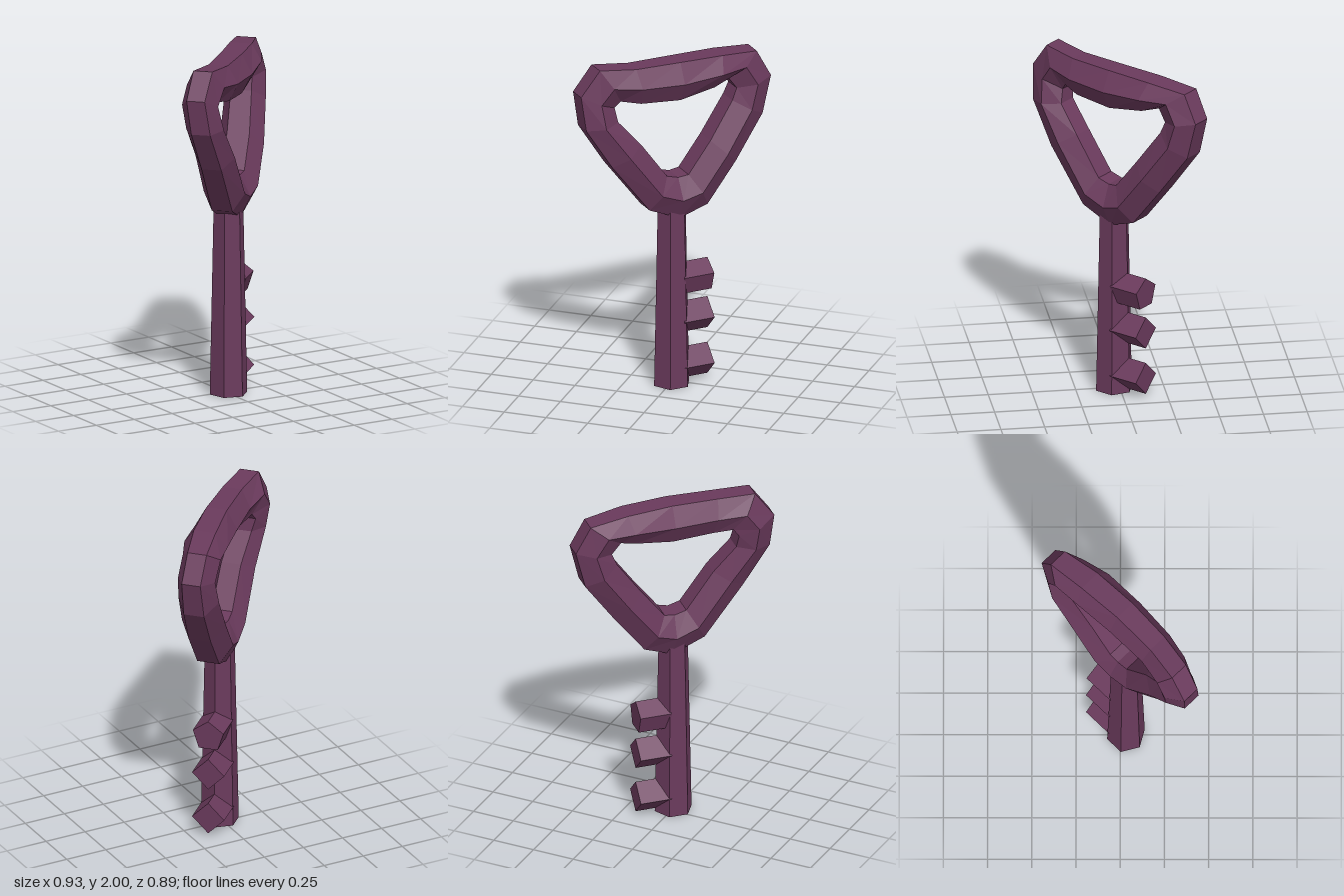
import * as THREE from 'three';

// Bow cross-sections: [outer u, outer y, inner u, inner y, depth centre, depth radius]
const BOW = [
  [0, 1.03, -0.01, 1.28, 0.03, 0.12],
  [0.17, 1.09, 0.05, 1.29, 0.035, 0.13],
  [0.35, 1.32, 0.19, 1.47, 0.03, 0.13],
  [0.53, 1.57, 0.34, 1.68, 0.01, 0.12],
  [0.585, 1.79, 0.37, 1.75, 0.01, 0.11],
  [0.5, 1.95, 0.32, 1.82, 0, 0.112],
  [0.27, 1.975, 0.22, 1.79, 0.025, 0.128],
  [0, 1.985, 0, 1.755, 0.037, 0.122],
  [-0.27, 1.985, -0.24, 1.77, 0.027, 0.112],
  [-0.48, 2.0, -0.35, 1.79, -0.01, 0.11],
  [-0.59, 1.85, -0.38, 1.75, -0.025, 0.105],
  [-0.57, 1.65, -0.37, 1.67, 0, 0.11],
  [-0.42, 1.41, -0.24, 1.52, 0.025, 0.115],
  [-0.19, 1.11, -0.08, 1.3, 0.03, 0.12],
];

// Closed loop of six-sided sections with a flat rim inside and outside
function bowGeometry() {
  const sides = 6;
  const n = BOW.length;
  const positions = [];
  const index = [];
  for (const [ou, oy, iu, iy, w, r] of BOW) {
    for (let k = 0; k < sides; k++) {
      const a = ((k + 0.5) / sides) * Math.PI * 2;
      const c = Math.cos(a) / Math.cos(Math.PI / 6) / 2;
      positions.push(
        (ou + iu) / 2 + (ou - iu) * c,
        (oy + iy) / 2 + (oy - iy) * c,
        w + r * Math.sin(a)
      );
    }
  }
  for (let i = 0; i < n; i++) {
    for (let k = 0; k < sides; k++) {
      const a = i * sides + k;
      const b = i * sides + ((k + 1) % sides);
      const d = ((i + 1) % n) * sides + k;
      const c = ((i + 1) % n) * sides + ((k + 1) % sides);
      index.push(a, d, c, a, c, b);
    }
  }
  const g = new THREE.BufferGeometry();
  g.setAttribute('position', new THREE.Float32BufferAttribute(positions, 3));
  g.setIndex(index);
  const flat = g.toNonIndexed();
  flat.computeVertexNormals();
  return flat;
}

export function createModel() {
  const plum = new THREE.MeshStandardMaterial({ color: 0x6a3a5c });
  plum.name = 'plum';
  plum.flatShading = true;

  const model = new THREE.Group();
  model.name = 'key';
  const add = (geometry, name) => {
    const mesh = new THREE.Mesh(geometry, plum);
    mesh.name = name;
    model.add(mesh);
    return mesh;
  };

  // Heart-like triangular handle
  add(bowGeometry(), 'bow');

  // Tapered hexagonal shaft with ridges facing along the key
  const shaft = new THREE.CylinderGeometry(0.087, 0.11, 1.12, 6);
  shaft.rotateY(Math.PI / 6);
  shaft.translate(-0.02, 0.56, 0.025);
  add(shaft, 'shaft');

  // Three chunky teeth pointing sideways: [height, sides]
  [[0.635, 5], [0.395, 4], [0.115, 4]].forEach(([y, sides], i) => {
    const g = new THREE.CylinderGeometry(0.095, 0.095, 0.185, sides);
    g.rotateX(Math.PI / 2); // first corner points down
    g.rotateZ(Math.PI); // first corner points up
    g.rotateY(Math.PI / 2);
    g.translate(0.112, y, 0.025);
    add(g, 'tooth' + (i + 1));
  });

  // The flat of the key stands diagonally
  model.rotation.y = Math.PI / 4;
  const root = new THREE.Group();
  root.name = 'keyModel';
  root.add(model);
  return root;
}
